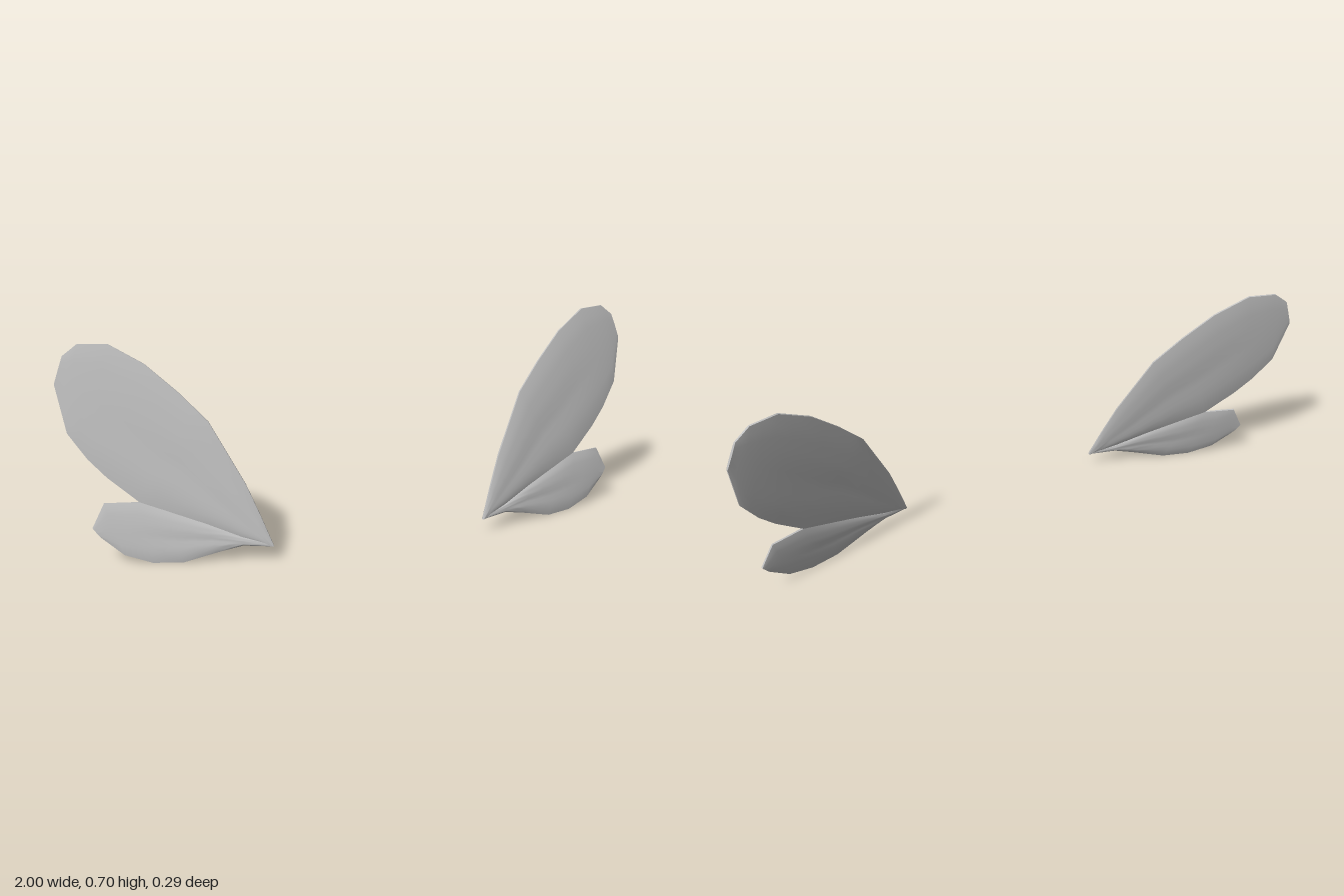
import * as THREE from 'three';
import { toCreasedNormals } from 'three/addons/utils/BufferGeometryUtils.js';

const ACROSS = 10; // columns from leading to trailing edge
const SUB = 2;     // rows between two stations
const RIM = 0.003; // half thickness at the edges

// Wing outlines as matching leading / trailing points, root to tip (x, y)
const FORE_LEAD = [[.365, .05], [.40, .15], [.44, .255], [.54, .455], [.625, .548], [.72, .637], [.826, .70], [.917, .70], [.965, .663]];
const FORE_TRAIL = [[.375, .05], [.46, .08], [.57, .125], [.70, .172], [.77, .198], [.863, .278], [.917, .337], [.972, .42], [.997, .575]];
const HIND_LEAD = [[.37, .06], [.46, .082], [.57, .127], [.70, .174], [.77, .198], [.88, .195], [.922, .115]];
const HIND_TRAIL = [[.37, .05], [.46, .054], [.54, .033], [.65, 0], [.745, 0], [.83, .026], [.90, .085]];

// Both wings lie on a plane that sweeps back towards the tip
const SLOPE_X = 0.29, SLOPE_Y = 0.18;
const planeZ = (x, y) => 0.14 - SLOPE_X * (x - 0.365) - SLOPE_Y * (y - 0.05);
const NORMAL = new THREE.Vector3(SLOPE_X, SLOPE_Y, 1).normalize();

// Swelling of the surface with shallow furrows running from the root
function swell(u, v, puff) {
  const body = Math.sqrt(Math.max(0, Math.sin(Math.PI * v))) * Math.sin(Math.PI * Math.min(1, 0.06 + u * 0.9));
  const furrow = 0.35 * Math.exp(-(((v - 0.55) / 0.09) ** 2)) * Math.sin(Math.PI * Math.min(1, u * 1.3));
  return RIM + puff * body * (1 - furrow);
}

function wingGeometry(lead, trail, puff, side) {
  const rows = (lead.length - 1) * SUB;
  const ring = 2 * (ACROSS + 1);
  const positions = [], index = [];
  const at = (list, s) => {
    const k = Math.min(Math.floor(s), list.length - 2), f = s - k;
    return [0, 1].map(c => list[k][c] * (1 - f) + list[k + 1][c] * f);
  };

  // Closed ring at each row: front surface out, back surface home
  for (let i = 0; i <= rows; i++) {
    const a = at(lead, i / SUB), b = at(trail, i / SUB);
    for (let r = 0; r < ring; r++) {
      const front = r <= ACROSS;
      const v = (front ? r : ring - 1 - r) / ACROSS;
      const x = a[0] + (b[0] - a[0]) * v, y = a[1] + (b[1] - a[1]) * v;
      const h = swell(i / rows, v, puff) * (front ? 1 : -1);
      // Offset in depth only near the rim keeps the outline exact
      const p = new THREE.Vector3(x, y, planeZ(x, y)).addScaledVector(NORMAL, h);
      positions.push(p.x * side, Math.max(0, p.y), p.z);
    }
  }

  const quad = (a, b, c, d) => side > 0
    ? index.push(a, b, c, a, c, d)
    : index.push(a, c, b, a, d, c);

  for (let i = 0; i < rows; i++) {
    for (let r = 0; r < ring; r++) {
      const n = (r + 1) % ring, o = i * ring;
      quad(o + r, o + n, o + ring + n, o + ring + r);
    }
  }
  // Close the root and the tip
  const end = rows * ring;
  for (let j = 0; j < ACROSS; j++) {
    const back = ring - 1 - j;
    quad(j, back, back - 1, j + 1);
    quad(end + j, end + j + 1, end + back - 1, end + back);
  }

  const geometry = new THREE.BufferGeometry();
  geometry.setAttribute('position', new THREE.Float32BufferAttribute(positions, 3));
  geometry.setIndex(index);
  return toCreasedNormals(geometry, 0.8);
}

export function createModel() {
  const model = new THREE.Group();
  model.name = 'wingPair';
  const membrane = new THREE.MeshStandardMaterial({ color: 0xc0c0c0 });
  membrane.name = 'wing grey';

  for (const [label, side] of [['left', 1], ['right', -1]]) {
    const wing = new THREE.Group();
    wing.name = label + 'Wing';
    const fore = new THREE.Mesh(wingGeometry(FORE_LEAD, FORE_TRAIL, 0.012, side), membrane);
    fore.name = label + 'Forewing';
    const hind = new THREE.Mesh(wingGeometry(HIND_LEAD, HIND_TRAIL, 0.010, side), membrane);
    hind.name = label + 'Hindwing';
    wing.add(fore, hind);
    model.add(wing);
  }
  return model;
}
